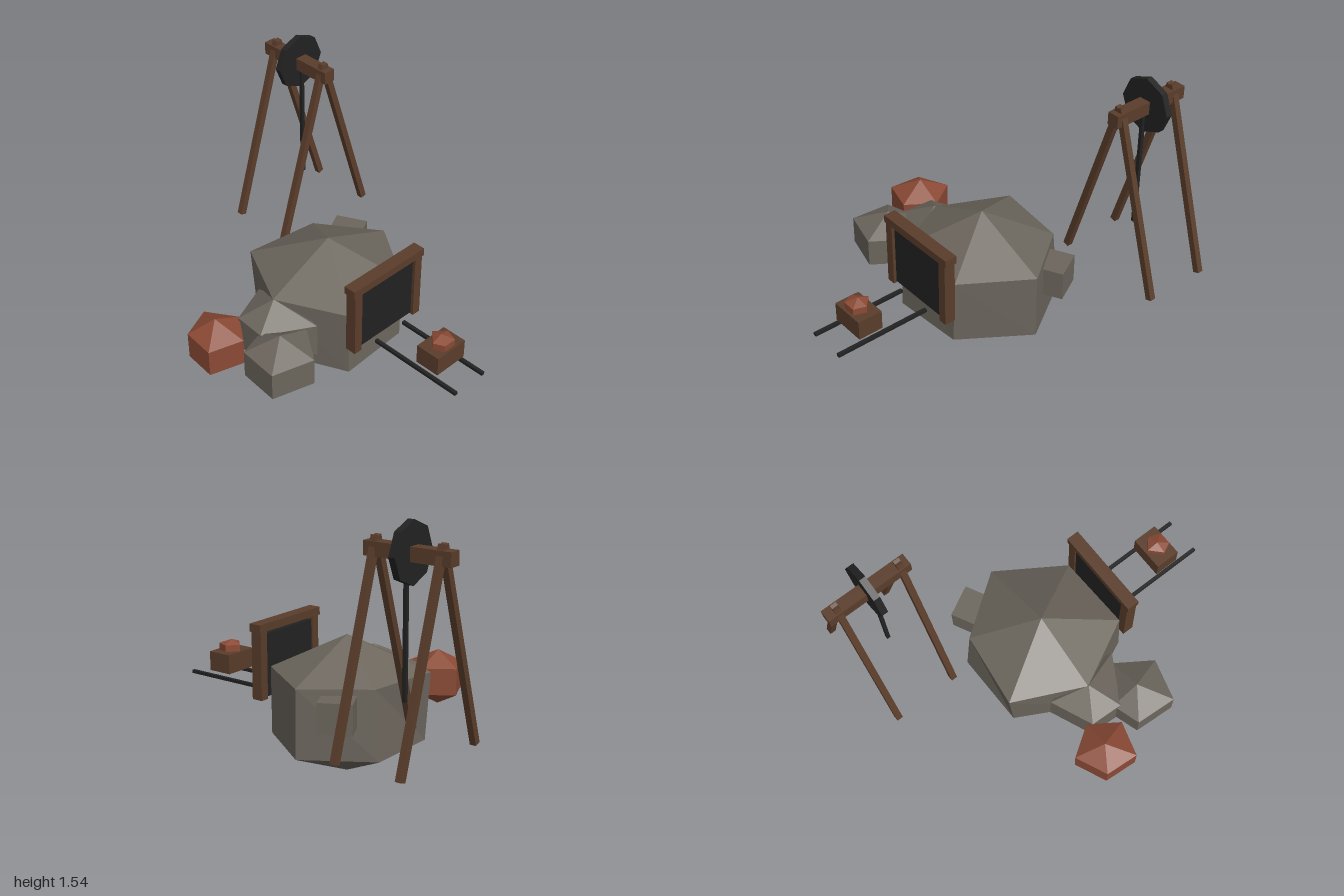
import * as THREE from 'three';

export function createModel() {
  const model = new THREE.Group();
  const material = (name, color) => {
    const m = new THREE.MeshStandardMaterial({ color });
    m.name = name;
    m.flatShading = true;
    return m;
  };
  const stone = material('stone', 0x6b655c);
  const wood = material('wood', 0x5a3d2b);
  const iron = material('iron', 0x222222);
  const ore = material('ore', 0x8b4a35);

  const add = (name, geometry, mat, x = 0, y = 0, z = 0) => {
    const mesh = new THREE.Mesh(geometry, mat);
    mesh.name = name;
    mesh.position.set(x, y, z);
    model.add(mesh);
    return mesh;
  };
  // box from its min and max on each axis
  const box = (name, mat, [x0, x1], [y0, y1], [z0, z1]) =>
    add(name, new THREE.BoxGeometry(x1 - x0, y1 - y0, z1 - z0), mat,
      (x0 + x1) / 2, (y0 + y1) / 2, (z0 + z1) / 2);

  // faceted rock: two rings of [x, z] corners closed by a peak and a base point
  function rock(name, mat, [cx, cz], [yBase, yLow, yHigh, yPeak], high, low = high) {
    const p = [];
    const n = high.length;
    const peak = [cx, yPeak, cz], base = [cx, yBase, cz];
    for (let i = 0; i < n; i++) {
      const j = (i + 1) % n;
      const a = [high[i][0], yHigh, high[i][1]], d = [high[j][0], yHigh, high[j][1]];
      const b = [low[i][0], yLow, low[i][1]], c = [low[j][0], yLow, low[j][1]];
      p.push(...peak, ...a, ...d, ...a, ...c, ...d, ...a, ...b, ...c, ...b, ...base, ...c);
    }
    const g = new THREE.BufferGeometry();
    g.setAttribute('position', new THREE.Float32BufferAttribute(p, 3));
    g.computeVertexNormals();
    return add(name, g, mat);
  }

  // rocks
  rock('mainRock', stone, [0.02, -0.04], [0.01, 0.205, 0.59, 0.785],
    [[-0.39, -0.04], [-0.2, 0.335], [0.23, 0.32], [0.47, -0.045], [0.23, -0.38], [-0.2, -0.435]],
    [[-0.39, -0.04], [-0.205, 0.35], [0.22, 0.325], [0.472, -0.045], [0.24, -0.415], [-0.19, -0.41]]);
  rock('middleRock', stone, [-0.39, -0.035], [0.21, 0.3, 0.5, 0.595],
    [[-0.565, 0.05], [-0.3, 0.205], [-0.25, -0.03], [-0.315, -0.24], [-0.555, -0.137]]);
  rock('frontRock', stone, [-0.543, 0.18], [0.225, 0.32, 0.483, 0.57],
    [[-0.717, 0.305], [-0.48, 0.37], [-0.345, 0.17], [-0.54, 0.02], [-0.7, 0.07]]);
  rock('oreRock', ore, [-0.692, -0.165], [0.235, 0.323, 0.48, 0.56],
    [[-0.833, -0.055], [-0.64, 0], [-0.53, -0.16], [-0.638, -0.325], [-0.817, -0.245]]);
  add('sideBlock', new THREE.BoxGeometry(0.17, 0.17, 0.185), stone, 0.381, 0.471, -0.249)
    .rotation.y = 0.477;

  // mine entrance
  for (const x of [-0.23, 0.22]) box('entrancePost', wood, [x, x + 0.051], [0.395, 0.78], [0.352, 0.418]);
  box('entranceLintel', wood, [-0.24, 0.283], [0.78, 0.825], [0.348, 0.42]);
  box('entranceDarkness', iron, [-0.18, 0.22], [0.405, 0.762], [0.362, 0.4]);

  // rails and loaded cart
  for (const x of [-0.086, 0.124]) box('rail', iron, [x - 0.01, x + 0.01], [0.405, 0.423], [0.435, 1]);
  box('cart', wood, [-0.08, 0.125], [0.445, 0.557], [0.718, 0.864]);
  rock('cartOre', ore, [0.02, 0.79], [0.52, 0.545, 0.596, 0.62],
    [[-0.045, 0.79], [-0.015, 0.85], [0.06, 0.85], [0.085, 0.78], [0.023, 0.725]]);

  // hoist: two leg pairs, beam, wheel and rope
  for (const z of [-0.56, -0.935]) {
    for (const side of [-1, 1]) {
      add('hoistLeg', new THREE.BoxGeometry(0.037, 1.1, 0.035), wood, 0.49 + side * 0.163, 0.928, z)
        .rotation.z = side * 0.3;
    }
  }
  box('hoistBeam', wood, [0.455, 0.525], [1.357, 1.43], [-1, -0.51]);
  add('hoistWheel', new THREE.CylinderGeometry(0.157, 0.157, 0.037, 8), iron, 0.49, 1.395, -0.758)
    .rotation.x = Math.PI / 2;
  box('hoistRope', iron, [0.48, 0.5], [0.662, 1.4], [-0.745, -0.725]);

  return model;
}
